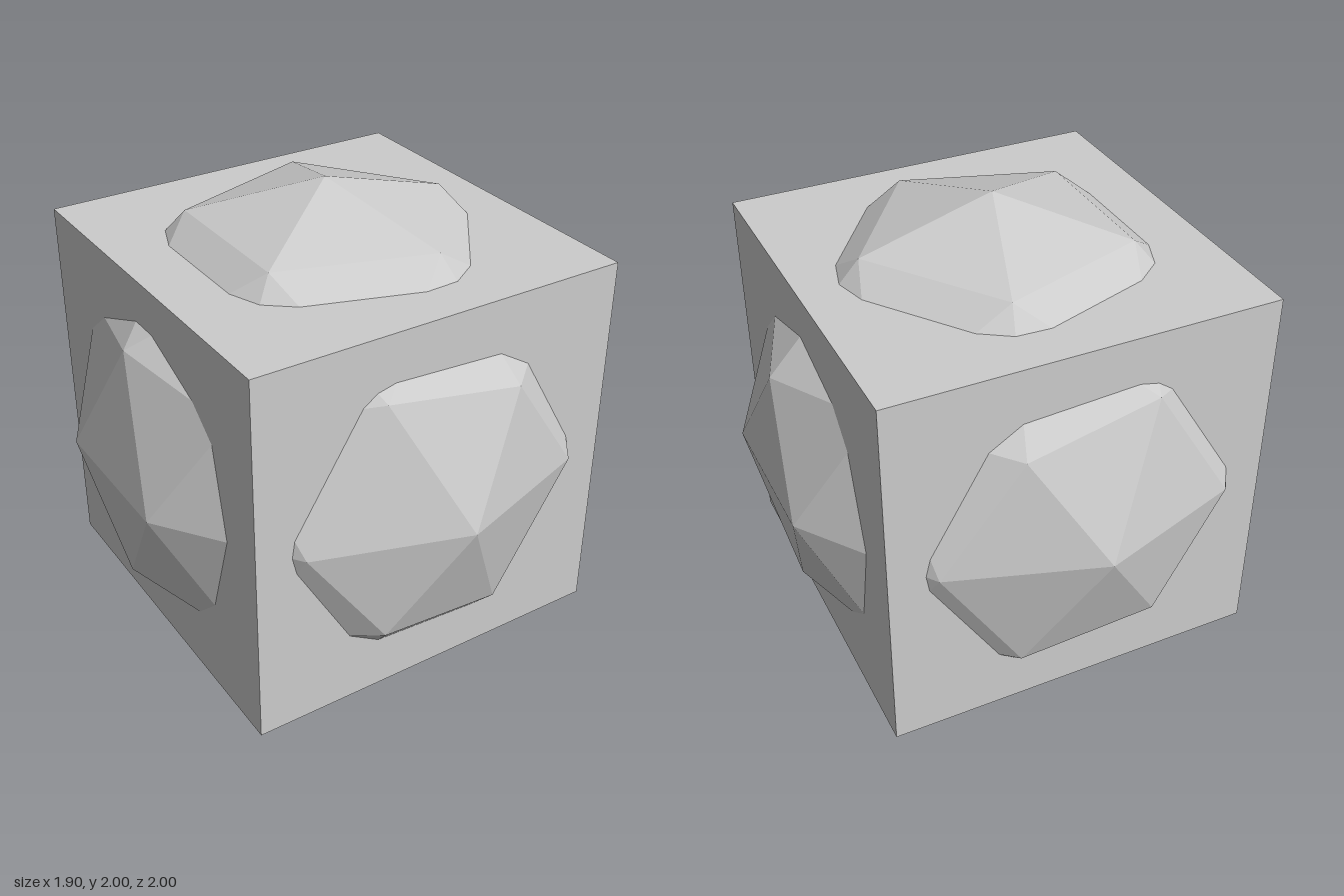
import * as THREE from 'three';

const CENTRE_Y = 1;
const CUBE_SIZE = 1.53;
const BALL_RADIUS = 1;

export function createModel() {
  const group = new THREE.Group();
  group.name = 'cubeWithFacetedBall';
  const material = new THREE.MeshStandardMaterial({ color: 0xcccccc, flatShading: true });

  const addPart = (name, geometry) => {
    const mesh = new THREE.Mesh(geometry, material);
    mesh.name = name;
    mesh.position.y = CENTRE_Y;
    group.add(mesh);
  };

  // Plain cube
  addPart('cube', new THREE.BoxGeometry(CUBE_SIZE, CUBE_SIZE, CUBE_SIZE));

  // 80-sided ball bulging through all six faces, turned so a corner points straight up
  const golden = (1 + Math.sqrt(5)) / 2;
  const ball = new THREE.IcosahedronGeometry(BALL_RADIUS, 1);
  ball.rotateZ(-Math.atan(1 / golden));
  addPart('facetedBall', ball);

  return group;
}
